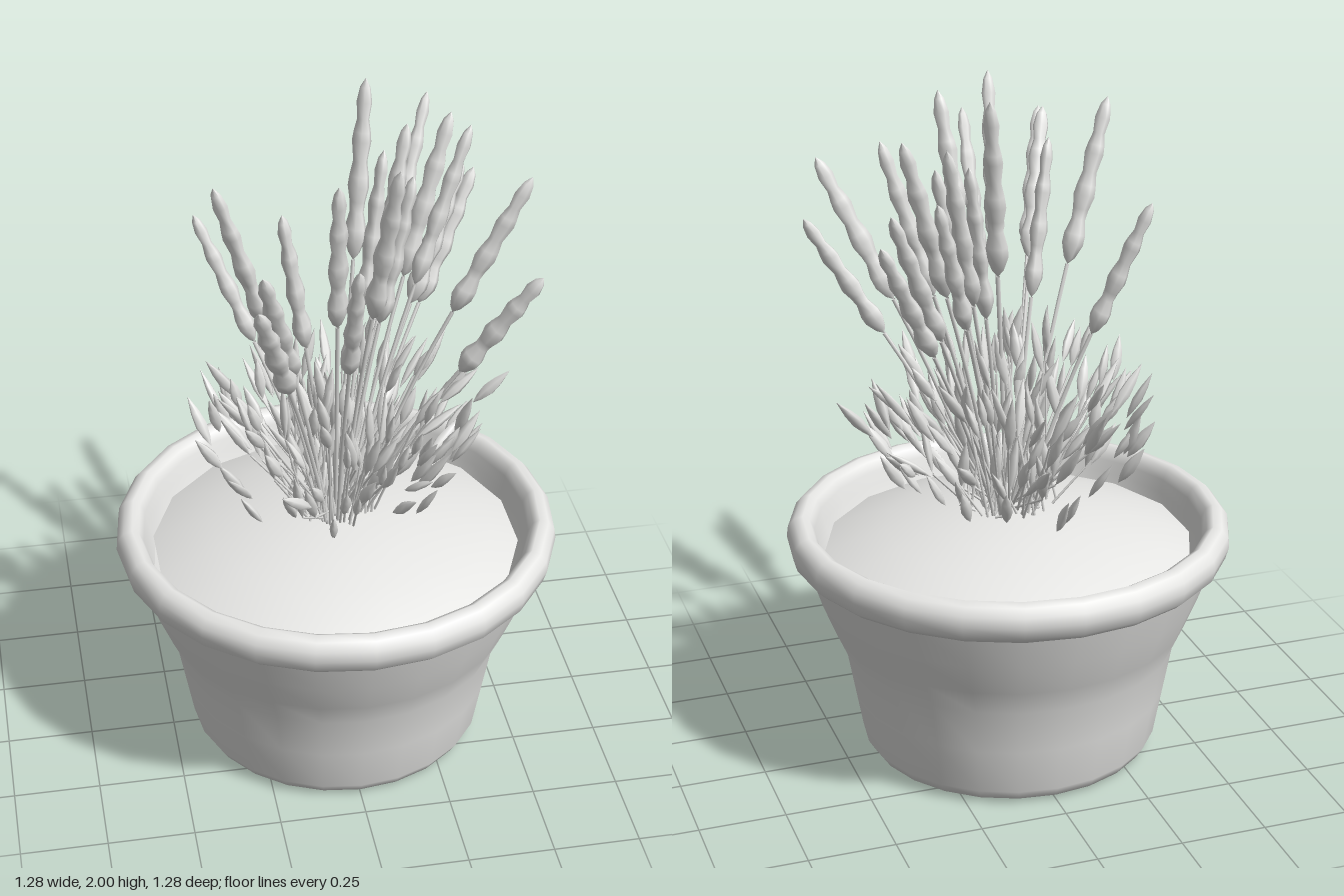
import * as THREE from 'three';

const clay = new THREE.MeshStandardMaterial({ color: 0xe8e8e6 });
clay.name = 'pale grey';
clay.side = THREE.DoubleSide;

const v3 = (x, y, z) => new THREE.Vector3(x, y, z);
const UP = v3(0, 1, 0);

// Small seeded generator
let seed = 7;
const rand = (a = 0, b = 1) => {
  seed = (seed * 16807) % 2147483647;
  return a + (b - a) * seed / 2147483647;
};

function lathe(points, sides, start = 0) {
  return new THREE.LatheGeometry(points.map(([r, y]) => new THREE.Vector2(r, y)), sides, start);
}

function add(parent, name, geometry) {
  const mesh = new THREE.Mesh(geometry, clay);
  mesh.name = name;
  parent.add(mesh);
  return mesh;
}

// Place a unit-high upright geometry so that it runs from a to b
function span(mesh, a, b, width, depth = width) {
  const d = b.clone().sub(a);
  mesh.position.copy(a);
  mesh.scale.set(width, d.length(), depth);
  mesh.quaternion.setFromUnitVectors(UP, d.normalize());
  mesh.quaternion.multiply(new THREE.Quaternion().setFromAxisAngle(UP, rand(0, Math.PI)));
}

// Tips of the grain ears: x, y, z
const earTips = [
  [-0.30, 1.76, 0.60], [-0.27, 1.79, 0.48], [-0.03, 1.80, 0.51], [-0.05, 1.95, 0.33],
  [-0.35, 1.89, 0.16], [-0.37, 1.66, -0.14], [-0.17, 1.79, 0.15], [0.13, 1.93, 0.23],
  [0.12, 2.00, -0.20], [0.16, 1.81, -0.14], [0.23, 1.87, -0.17], [0.22, 1.78, -0.03],
  [0.35, 1.90, -0.16], [0.39, 1.89, -0.09], [0.35, 1.82, -0.47], [0.40, 1.72, -0.22],
  [0.45, 1.66, -0.29], [0.52, 1.81, 0.09], [0.52, 1.59, 0.25]
];

export function createModel() {
  const model = new THREE.Group();

  // Flared pot with a thick rolled rim
  add(model, 'pot', lathe([
    [0, 0.005], [0.2, 0.007], [0.38, 0.01], [0.415, 0.018], [0.435, 0.05], [0.46, 0.19],
    [0.485, 0.33], [0.52, 0.41], [0.56, 0.51], [0.595, 0.62]
  ], 24));
  add(model, 'rim', lathe([
    [0.56, 0.615], [0.61, 0.615], [0.632, 0.635], [0.642, 0.67], [0.638, 0.70],
    [0.62, 0.722], [0.595, 0.73], [0.575, 0.718], [0.562, 0.69], [0.555, 0.65], [0.535, 0.59]
  ], 24));

  // Domed soil
  add(model, 'soil', lathe([
    [0.535, 0.63], [0.46, 0.661], [0.36, 0.692], [0.24, 0.719], [0.12, 0.736], [0, 0.742]
  ], 16, Math.PI / 16));

  // Shared plant shapes, one unit high
  const earShape = lathe([
    [0, 0], [0.5, 0.04], [0.95, 0.12], [0.95, 0.18], [0.62, 0.27], [0.7, 0.33], [0.95, 0.41],
    [0.85, 0.47], [0.62, 0.55], [0.85, 0.66], [0.75, 0.71], [0.52, 0.78], [0.68, 0.87],
    [0.45, 0.95], [0, 1]
  ], 7);
  const leafShape = lathe([[0, 0], [0.6, 0.18], [1, 0.42], [0.75, 0.68], [0.3, 0.88], [0, 1]], 6);
  const stalkShape = lathe([[1, 0], [0.8, 1]], 5);

  // Tall stalks carrying wavy grain ears
  const ears = new THREE.Group();
  ears.name = 'grainStalks';
  model.add(ears);
  for (const [x, y, z] of earTips) {
    const root = v3(x * 0.12, 0.74, z * 0.12);
    const tip = v3(x, y, z);
    const bend = v3(x * 0.48, 0.74 + (y - 0.74) * 0.52, z * 0.48);
    const curve = new THREE.QuadraticBezierCurve3(root, bend, tip);
    const earLength = 0.4 + 0.3 * (y - 1.6);
    const base = curve.getPointAt(1 - earLength / curve.getLength());
    const mid = base.clone().sub(tip).multiplyScalar(0.7).add(base);
    const stem = new THREE.QuadraticBezierCurve3(root, mid, base);
    add(ears, 'stalk', new THREE.TubeGeometry(stem, 6, 0.006, 5));
    span(add(ears, 'grainEar', earShape), base, tip, 0.034, 0.027);
  }

  // Short shoots with pointed leaves, spreading lower towards the outside
  const shoots = new THREE.Group();
  shoots.name = 'leafyShoots';
  model.add(shoots);
  const count = 160;
  for (let i = 0; i < count; i++) {
    const angle = i * 2.39996 + rand(-0.2, 0.2);
    const out = v3(Math.cos(angle), 0, Math.sin(angle));
    const r = 0.06 + 0.36 * rand();
    const high = 1.4 - 0.45 * r;
    const low = 0.9 + 0.2 * r;
    const y = low + (high - low) * rand();
    const tip = out.clone().multiplyScalar(r).setY(y);
    const root = out.clone().multiplyScalar(rand(0.02, 0.14)).setY(0.765);
    const dir = tip.clone().sub(root).normalize();
    dir.y += 0.15;
    dir.x += rand(-0.3, 0.3);
    dir.z += rand(-0.3, 0.3);
    dir.normalize();
    const base = tip.clone().addScaledVector(dir, -Math.min(rand(0.12, 0.19), (y - 0.765) / dir.y));
    if (r < 0.34) span(add(shoots, 'shoot', stalkShape), root, base, 0.004);
    span(add(shoots, 'leaf', leafShape), base, tip, 0.018, 0.012);
  }

  // Outermost low leaves
  for (let i = 0; i < 24; i++) {
    const angle = i * Math.PI / 12 + rand(-0.12, 0.12);
    const r = rand(0.24, 0.37);
    const y = rand(0.77, 1.02);
    const base = v3(Math.cos(angle) * r, y, Math.sin(angle) * r);
    const tip = v3(Math.cos(angle) * (r + 0.08), y + 0.12, Math.sin(angle) * (r + 0.08));
    span(add(shoots, 'outerLeaf', leafShape), base, tip, 0.019, 0.012);
  }

  // Single leaf reaching furthest to the side
  span(add(shoots, 'farLeaf', leafShape), v3(0.41, 1.03, -0.04), v3(0.51, 1.14, -0.02), 0.019, 0.012);
  return model;
}
